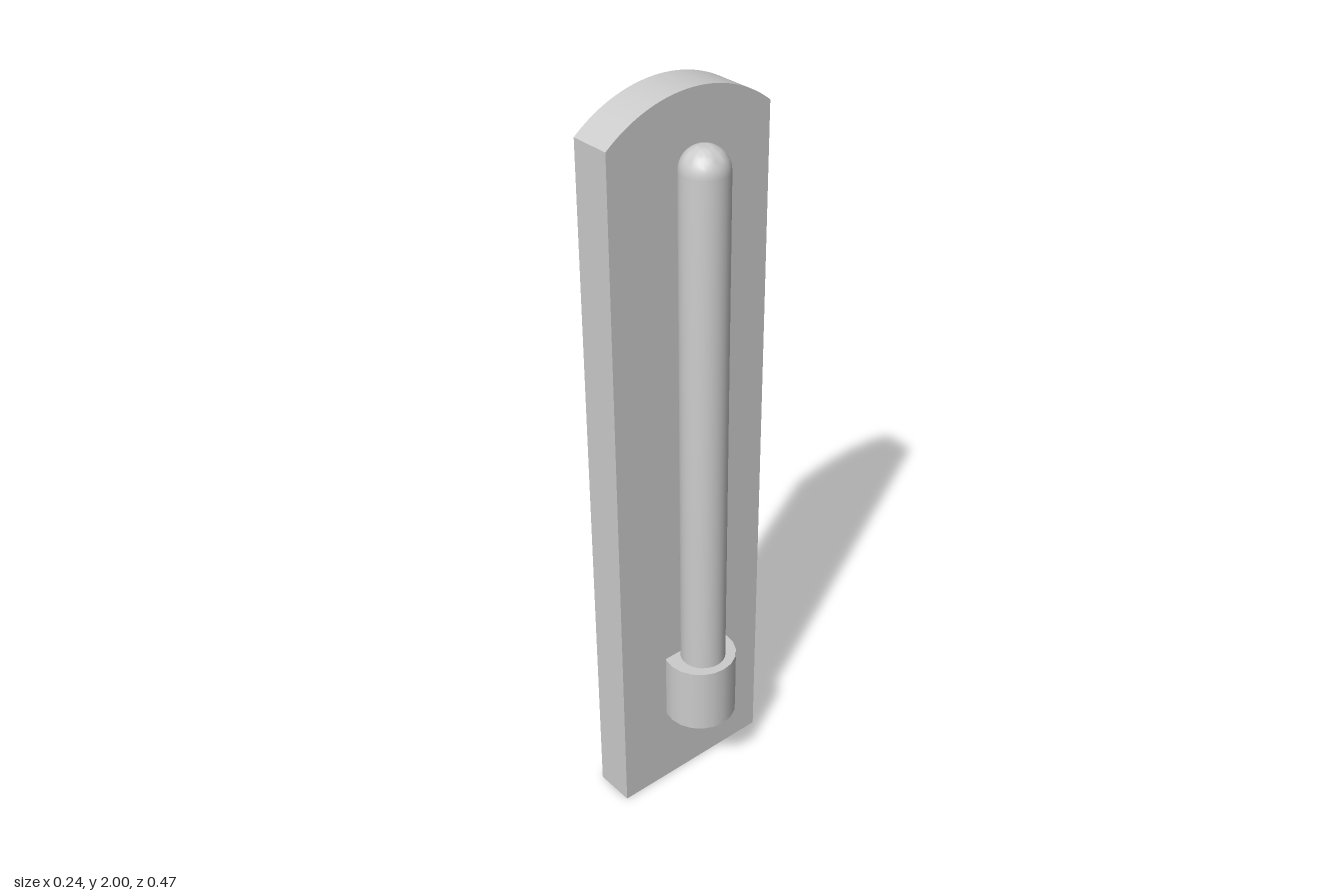
import * as THREE from 'three';
import { toCreasedNormals } from 'three/addons/utils/BufferGeometryUtils.js';

export function createModel() {
  const group = new THREE.Group();
  const material = new THREE.MeshStandardMaterial({ color: 0xcccccc });
  const add = (name, geometry, x = 0, y = 0) => {
    const mesh = new THREE.Mesh(geometry, material);
    mesh.name = name;
    mesh.position.set(x, y, 0);
    group.add(mesh);
  };

  // Backing board: a tall slab with a shallow arched top, facing +x
  const half = 0.237, shoulder = 1.915, rise = 2 - shoulder;
  const radius = (half * half + rise * rise) / (2 * rise);
  const angle = Math.acos(half / radius);
  const outline = new THREE.Shape();
  outline.moveTo(-half, 0);
  outline.lineTo(half, 0);
  outline.lineTo(half, shoulder);
  outline.absarc(0, 2 - radius, radius, angle, Math.PI - angle, false);
  outline.closePath();
  const board = new THREE.ExtrudeGeometry(outline, { depth: 0.111, bevelEnabled: false, curveSegments: 32 });
  board.rotateY(Math.PI / 2);
  add('backingBoard', toCreasedNormals(board, 0.4), -0.123);

  // Tube with a domed top, partly sunk into the board
  const tubeRadius = 0.061, tubeTop = 1.885, tubeBottom = 0.33;
  const profile = [new THREE.Vector2(0, tubeBottom), new THREE.Vector2(tubeRadius, tubeBottom)];
  for (let i = 0; i <= 10; i++) {
    const a = (i / 10) * Math.PI / 2;
    profile.push(new THREE.Vector2(
      i === 10 ? 0 : tubeRadius * Math.cos(a),
      tubeTop - tubeRadius + tubeRadius * Math.sin(a)));
  }
  add('tube', toCreasedNormals(new THREE.LatheGeometry(profile, 32), 0.6), 0.035);

  // Wider bulb holder at the foot of the tube
  add('bulbHolder', new THREE.CylinderGeometry(0.098, 0.098, 0.193, 20), 0.023, 0.3335);

  return group;
}
